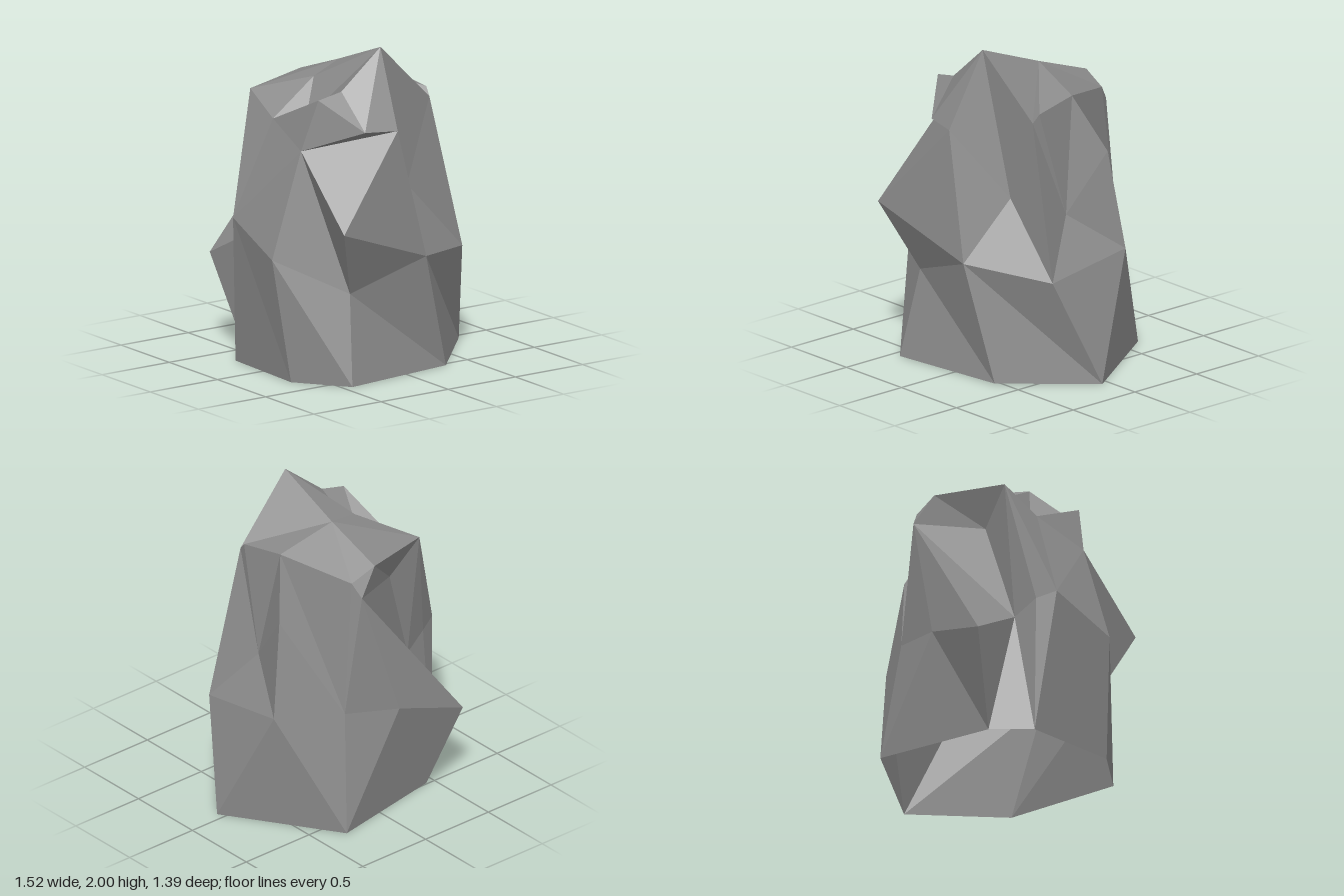
import * as THREE from 'three';

const p = (x, y, z) => new THREE.Vector3(x, y, z);

// Triangles between two closed rings: 'l' steps along the lower ring, 'u' along the upper.
function stitch(tris, lower, upper, path) {
  let i = 0, j = 0;
  for (const step of path) {
    const a = lower[i % lower.length], b = upper[j % upper.length];
    const next = step === 'l' ? lower[++i % lower.length] : upper[++j % upper.length];
    if (a !== b && next !== a && next !== b) tris.push(a, next, b);
  }
}

// Triangles from one point to a row of points.
function fan(tris, centre, row) {
  for (let i = 0; i < row.length - 1; i++) tris.push(centre, row[i], row[i + 1]);
}

export function createModel() {
  const stone = new THREE.MeshStandardMaterial({ color: 0x8a8a8a, side: THREE.DoubleSide, flatShading: true });
  stone.name = 'stone grey';

  // Foot outline, open underneath
  const foot = [
    p(-0.675, 0, 0.31), p(-0.44, 0, 0.62), p(0.32, 0, 0.53), p(0.76, 0, 0.05),
    p(0.315, 0, -0.635), p(-0.445, 0, -0.49), p(-0.65, 0, -0.3),
  ];

  // Waist outline, with the pointed outcrop at the back and a crevice beside it
  const waist = [
    p(-0.765, 0.76, 0.24), p(-0.38, 0.55, 0.51), p(0.12, 0.73, 0.605), p(0.6, 0.66, 0.31),
    p(0.595, 0.75, -0.285), p(0.24, 0.76, -0.53), p(-0.11, 0.71, -0.63), p(-0.555, 0.58, -0.7),
    p(-0.47, 0.81, -0.285), p(-0.62, 0.9, -0.255), p(-0.74, 0.93, -0.2),
  ];

  // Shoulder points
  const frontSpur = p(-0.555, 0.98, 0.695), brow = p(-0.06, 1.53, 0.56), frontHollow = p(0.2, 1.1, 0.295);
  const sideEdge = p(0.38, 1.62, 0.275), sideHollow = p(0.43, 1.0, 0.05), sideBulge = p(0.5, 1.36, -0.225);
  const sideTop = p(0.355, 1.715, -0.065), backEdge = p(0.15, 1.62, -0.49), backCorner = p(0.12, 1.53, -0.55);
  const backHollow = p(-0.28, 1.44, -0.34), backHorn = p(-0.48, 1.66, -0.384);
  const notchEdge = p(-0.5, 1.53, -0.12), cheek = p(-0.55, 1.41, 0.24);
  const shoulder = [cheek, frontSpur, brow, frontHollow, sideEdge, sideHollow, sideBulge, sideTop,
    backEdge, backCorner, backHollow, backHorn, notchEdge];

  // Crown points
  const peak = p(-0.02, 2, 0.325), ledge = p(-0.27, 1.54, 0.515), sideTip = p(0.39, 1.67, 0.23);
  const ridge = p(-0.01, 1.83, -0.12), backRim = p(-0.015, 1.69, -0.51), notchRim = p(-0.24, 1.77, -0.06);
  const notchFloor = p(-0.34, 1.53, 0), frontHorn = p(-0.46, 1.725, 0.295), saddle = p(-0.3, 1.76, 0.31);
  const crown = [cheek, ledge, peak, ridge, sideTip, sideTop, ridge, backRim, ridge,
    notchRim, notchFloor, frontHorn];

  const tris = [];
  stitch(tris, foot, waist, 'lululuuluuluuluulu');
  stitch(tris, waist, shoulder, 'luluuluululuuullluulluul');
  stitch(tris, shoulder, crown, 'lluulluululllulullluuluul'.replace('lulll', 'lull'));
  // Ridge, peak and front horn close the top
  fan(tris, ridge, [sideTip, sideTop]);
  fan(tris, peak, [ridge, notchRim, notchFloor, saddle, ledge]);
  fan(tris, frontHorn, [cheek, ledge, saddle, notchFloor]);

  const geometry = new THREE.BufferGeometry().setFromPoints(tris);
  geometry.computeVertexNormals();
  const rock = new THREE.Mesh(geometry, stone);
  rock.name = 'rock';

  const group = new THREE.Group();
  group.name = 'boulder';
  group.add(rock);
  return group;
}
